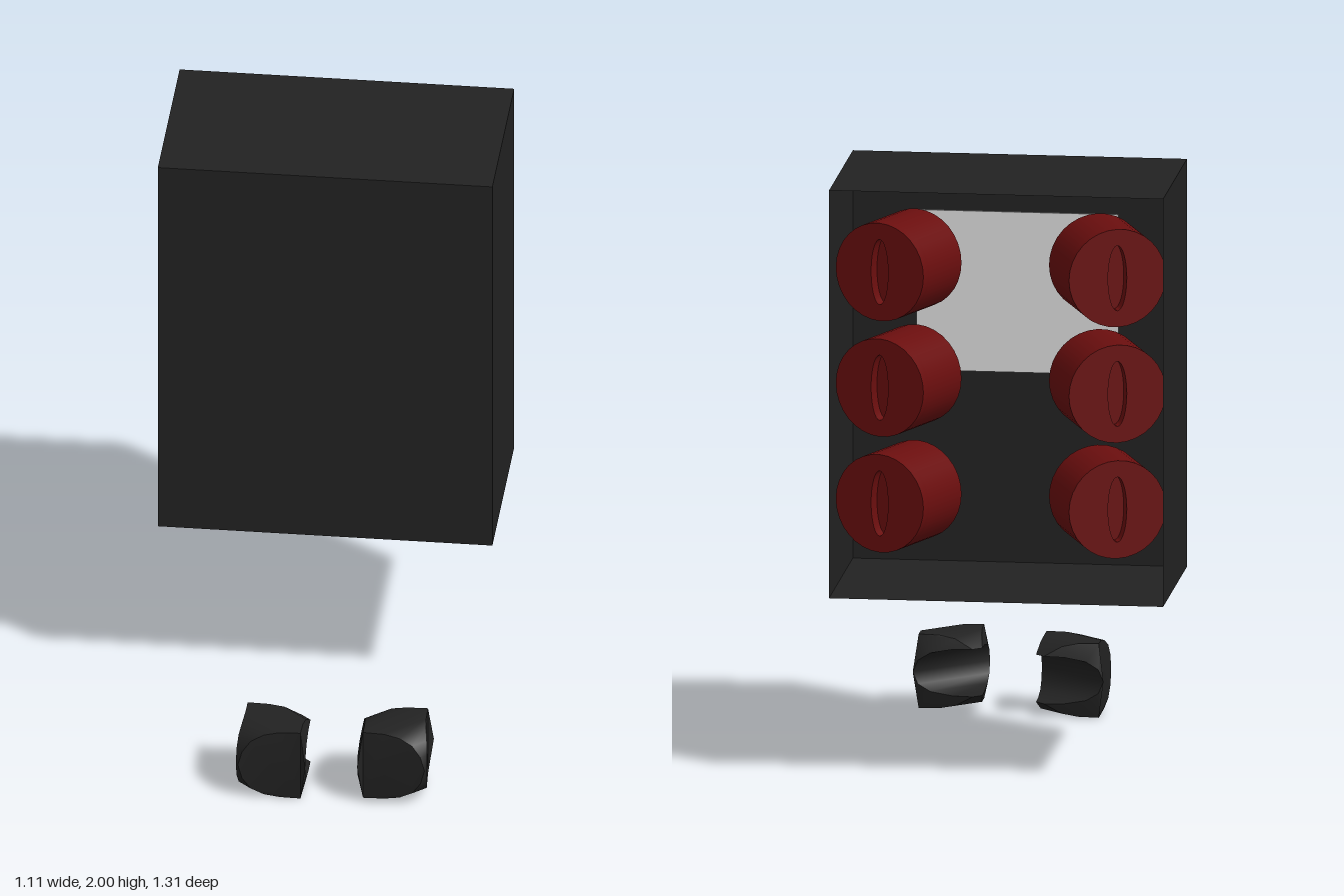
import * as THREE from 'three';
import { toCreasedNormals } from 'three/addons/utils/BufferGeometryUtils.js';

const black = new THREE.MeshStandardMaterial({ color: 0x222222, side: THREE.DoubleSide });
black.name = 'black';
const red = new THREE.MeshStandardMaterial({ color: 0x6a0e0e });
red.name = 'dark red';
const white = new THREE.MeshStandardMaterial({ color: 0xdcdcdc });
white.name = 'pale grey';

function add(parent, name, geometry, material, x = 0, y = 0, z = 0) {
  const mesh = new THREE.Mesh(geometry, material);
  mesh.name = name;
  mesh.position.set(x, y, z);
  parent.add(mesh);
  return mesh;
}

// Barrel with its axis along z, end face at z = 0 with an upright slot
function barrel(name) {
  const group = new THREE.Group();
  group.name = name;
  const r = 0.165, length = 0.26, recess = 0.04;
  const face = new THREE.Shape().absarc(0, 0, r, 0, Math.PI * 2);
  face.holes.push(new THREE.Path().absellipse(0, 0, 0.032, 0.11, 0, Math.PI * 2, true));
  const rim = new THREE.ExtrudeGeometry(face, { depth: recess, bevelEnabled: false, curveSegments: 16 });
  add(group, 'slottedFace', toCreasedNormals(rim, 0.6), red, 0, 0, -recess);
  const body = new THREE.CylinderGeometry(r, r, length - recess, 32).rotateX(Math.PI / 2);
  add(group, 'barrelBody', body, red, 0, 0, -(length + recess) / 2);
  return group;
}

// Gripping hand: C-shaped section run along the diagonal of a rounded square block
function handGeometry() {
  const shape = pts => new THREE.Shape(pts.map(p => new THREE.Vector2(...p)));
  const back = shape([
    [0, -0.125], [0, 0.125], [-0.05, 0.123], [-0.09, 0.113], [-0.125, 0.09],
    [-0.148, 0.05], [-0.158, 0], [-0.148, -0.05], [-0.125, -0.09], [-0.09, -0.113], [-0.05, -0.123],
  ]);
  const flap = s => shape([
    [0, 0.125 * s], [0.05, 0.123 * s], [0.09, 0.113 * s], [0.138, 0.08 * s],
    [0.09, 0.078 * s], [0.04, 0.065 * s], [0.012, 0.04 * s], [0, 0],
  ]);
  const geo = new THREE.ExtrudeGeometry([back, flap(1), flap(-1)], { depth: 2, bevelEnabled: false });
  const pos = geo.attributes.position;
  for (let i = 0; i < pos.count; i++) {
    const u = pos.getX(i), v = pos.getY(i);
    const half = Math.max(0.002, 0.163 - 0.025 * (v / 0.125) ** 4 - Math.abs(u));
    pos.setZ(i, pos.getZ(i) > 1 ? half : -half);
  }
  return toCreasedNormals(geo, 0.7);
}

export function createModel() {
  const model = new THREE.Group();
  model.name = 'barrelCase';

  // Thin-walled case, open at the back
  const shell = new THREE.BoxGeometry(1.11, 1.375, 0.638);
  shell.setIndex(Array.from(shell.index.array).slice(0, 30));
  shell.clearGroups();
  add(model, 'case', shell, black, 0, 1.3125, -0.336);

  // Pale panel inside the front wall
  add(model, 'innerPanel', new THREE.BoxGeometry(0.67, 0.54, 0.008), white, 0, 1.55, -0.08);

  // Two columns of three barrels, turned outwards
  const tilt = 0.38;
  for (const side of [1, -1]) {
    for (let row = 0; row < 3; row++) {
      const b = barrel((side > 0 ? 'left' : 'right') + 'Barrel' + (row + 1));
      b.position.set(side * 0.395, 1.715 - row * 0.39, -0.59);
      b.rotation.y = Math.PI - side * tilt;
      model.add(b);
    }
  }

  // Pair of hands, openings turned inwards and back
  const grip = handGeometry();
  for (const [name, x, y, turn] of [
    ['rightHand', -0.105, 0.13, Math.PI / 4],
    ['leftHand', 0.298, 0.147, Math.PI * 3 / 4],
  ]) {
    const hand = new THREE.Group();
    hand.name = name;
    hand.position.set(x, y, 0.55);
    hand.scale.z = 0.92;
    add(hand, name + 'Grip', grip, black).rotation.y = turn;
    model.add(hand);
  }
  return model;
}
